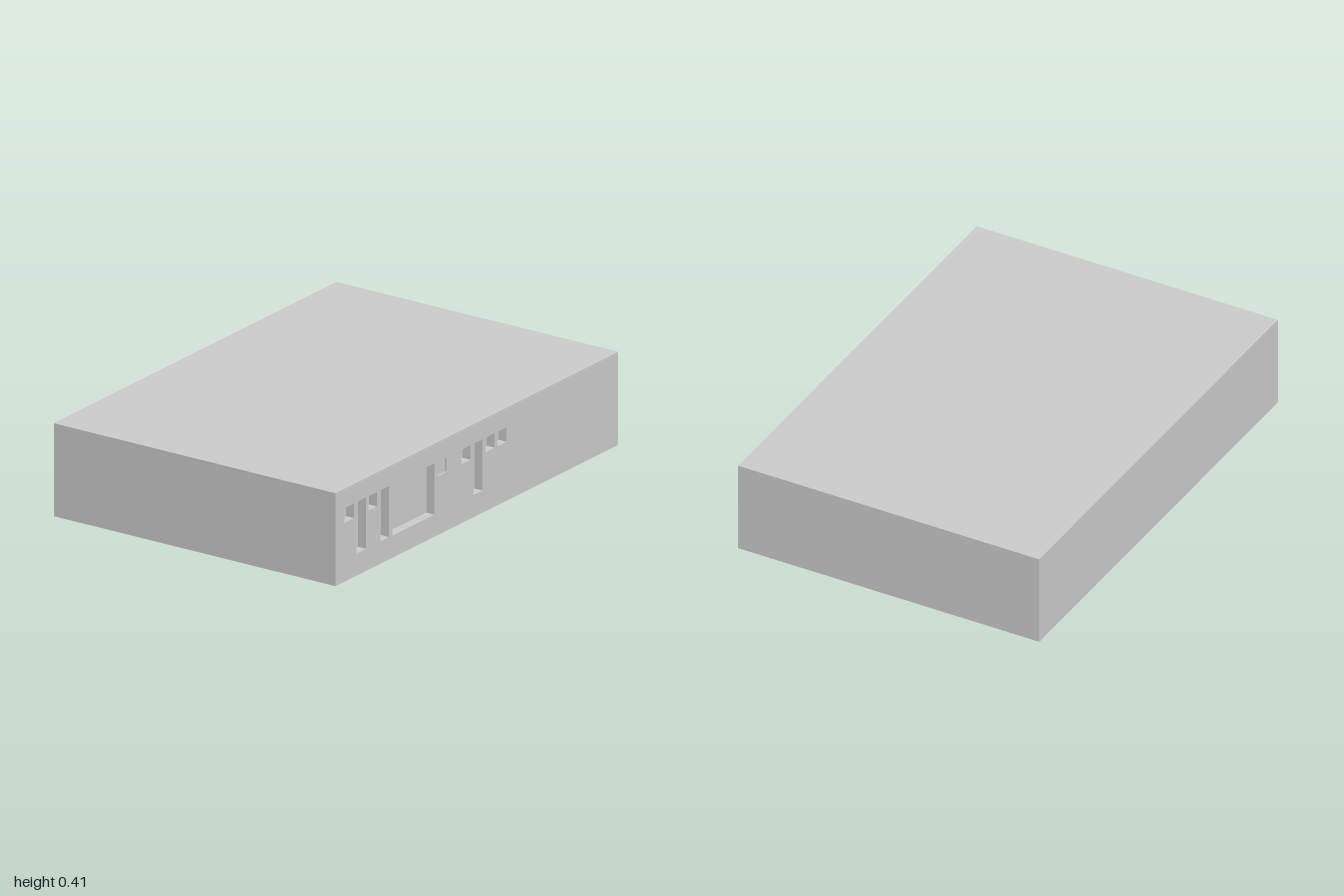
import * as THREE from 'three';

const W = 2, H = 0.405, D = 1.405; // overall case size
const DEPTH = 0.04;                // depth of the front pockets
const TOP = 0.32, SHORT = 0.257, LONG = 0.097;

// Front openings: left x, right x, bottom y
const openings = [
  [-0.935, -0.87, SHORT],
  [-0.85, -0.785, LONG],
  [-0.765, -0.705, SHORT],
  [-0.68, -0.62, LONG],
  [-0.595, -0.30, LONG],
  [-0.28, -0.215, SHORT],
  [-0.11, -0.045, SHORT],
  [-0.025, 0.04, LONG],
  [0.06, 0.125, SHORT],
  [0.145, 0.21, SHORT],
];
const BUTTON = 5; // the opening filled by a nearly flush button

function rectangle(path, x0, y0, x1, y1) {
  path.moveTo(x0, y0);
  path.lineTo(x1, y0);
  path.lineTo(x1, y1);
  path.lineTo(x0, y1);
  path.closePath();
  return path;
}

export function createModel() {
  const group = new THREE.Group();
  group.name = 'equipmentCase';
  const material = new THREE.MeshStandardMaterial({ color: 0xcccccc, flatShading: true });
  const add = (name, geometry, x, y, z) => {
    const mesh = new THREE.Mesh(geometry, material);
    mesh.name = name;
    mesh.position.set(x, y, z);
    group.add(mesh);
  };

  // Main case, whose front forms the pocket floors
  add('caseBody', new THREE.BoxGeometry(W, H, D - DEPTH), 0, H / 2, -DEPTH / 2);

  // Front panel pierced by the ports and slots
  const panel = rectangle(new THREE.Shape(), -W / 2, 0, W / 2, H);
  for (const [x0, x1, y0] of openings) {
    panel.holes.push(rectangle(new THREE.Path(), x0, y0, x1, TOP));
  }
  const panelGeometry = new THREE.ExtrudeGeometry(panel, { depth: DEPTH, bevelEnabled: false });
  add('frontPanel', panelGeometry, 0, 0, D / 2 - DEPTH);

  // Button sitting just below the panel surface, with a hairline gap
  const [x0, x1, y0] = openings[BUTTON];
  const height = DEPTH - 0.004, gap = 0.006;
  add('button', new THREE.BoxGeometry(x1 - x0 - gap, TOP - y0 - gap, height),
    (x0 + x1) / 2, (TOP + y0) / 2, D / 2 - DEPTH + height / 2);

  return group;
}
